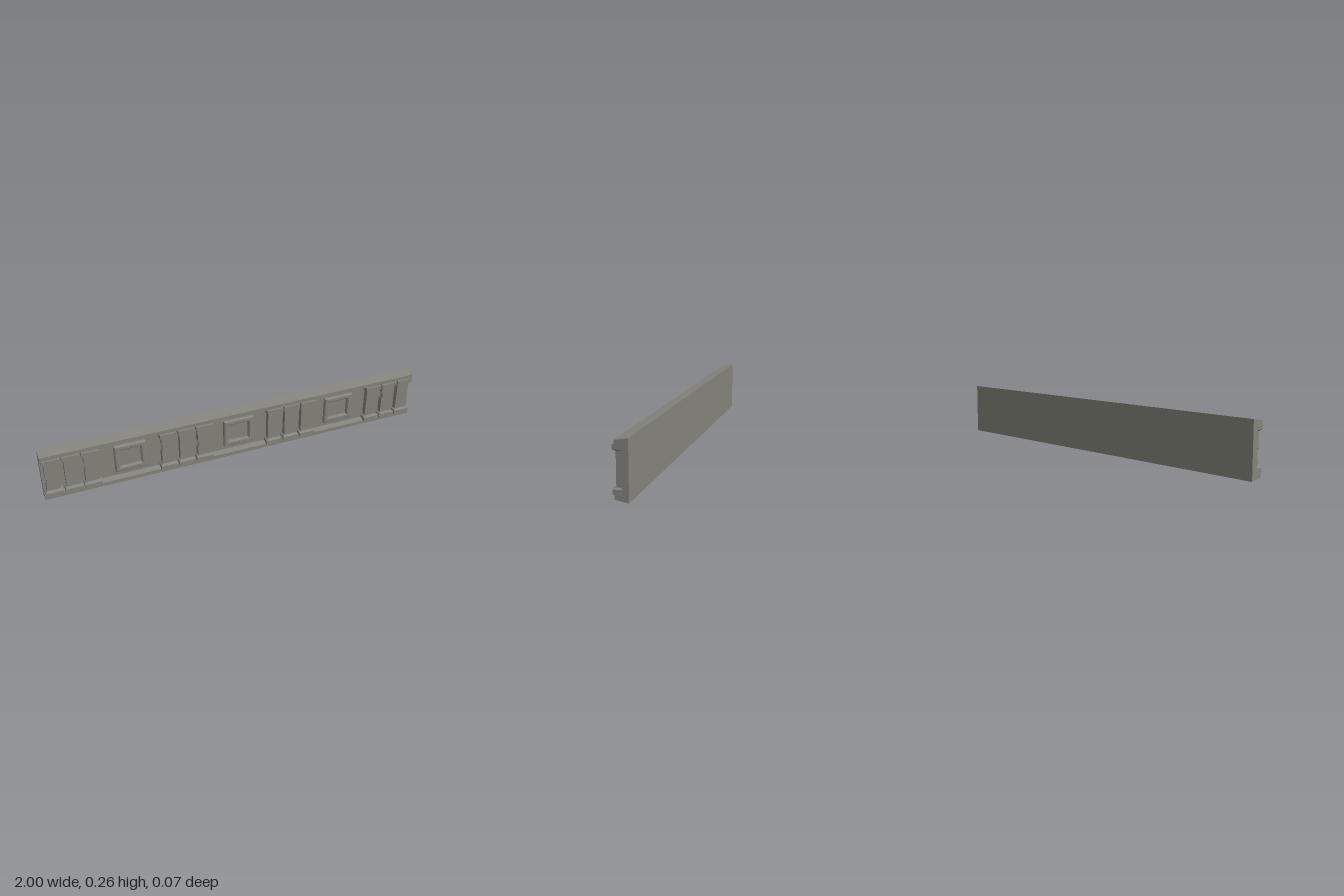
import * as THREE from 'three';

const WALL = -0.004; // face of the recessed wall
const MID = 0.133;   // height of the horizontal centre line

// Closed shape from a list of [x, y] points
function shapeOf(points) {
  return new THREE.Shape(points.map(([x, y]) => new THREE.Vector2(x, y)));
}

function rect(w, h) {
  return [[-w / 2, -h / 2], [w / 2, -h / 2], [w / 2, h / 2], [-w / 2, h / 2]];
}

// Box from y0 to y1 and from the wall forward; the lower end can be narrower and shallower
function taperedBlock(y0, y1, lowW, lowZ, highW, highZ) {
  const geo = new THREE.BoxGeometry(1, 1, 1);
  const p = geo.attributes.position;
  for (let i = 0; i < p.count; i++) {
    const high = p.getY(i) > 0;
    const z = p.getZ(i) > 0 ? (high ? highZ : lowZ) : WALL - 0.006;
    p.setXYZ(i, p.getX(i) * (high ? highW : lowW), high ? y1 : y0, z);
  }
  geo.computeVertexNormals();
  return geo;
}

// Shaft outline with an optional chip in its left (-1) or right (1) edge
function shaftGeometry(chipSide, chipY) {
  const w = 0.034, h = 0.08;
  const right = [[w, -h]], left = [[-w, h]];
  if (chipSide) {
    const chip = [[0, -0.022], [0.007, -0.012], [0.004, 0], [0.009, 0.008], [0, 0.02]];
    if (chipSide > 0) chip.forEach(([d, y]) => right.push([w - d, chipY + y]));
    else chip.reverse().forEach(([d, y]) => left.push([d - w, chipY + y]));
  }
  const pts = [...right, [w, h], ...left, [-w, -h]];
  const geo = new THREE.ExtrudeGeometry(shapeOf(pts), { depth: 0.032, bevelEnabled: false });
  return geo.translate(0, MID, WALL - 0.006);
}

export function createModel() {
  const model = new THREE.Group();
  model.name = 'stoneFrieze';
  const stone = new THREE.MeshStandardMaterial({ color: 0x85847c });
  stone.name = 'grey stone';

  function add(parent, name, geo) {
    const mesh = new THREE.Mesh(geo, stone);
    mesh.name = name;
    parent.add(mesh);
    return mesh;
  }

  // Wall with overhanging rims, one section run along the whole length
  const section = [
    [0.035, 0], [0.035, 0.265], [-0.025, 0.255], [-0.025, 0.236], [0, 0.228], [-WALL, 0.228],
    [-WALL, 0.038], [0, 0.038], [-0.025, 0.031], [-0.025, 0.011],
  ];
  const wall = new THREE.ExtrudeGeometry(shapeOf(section), { depth: 2, bevelEnabled: false });
  wall.rotateY(Math.PI / 2).translate(-1, 0, 0);
  add(model, 'wallAndRims', wall);

  // Four groups of three pilasters; the chips vary from one to the next
  const chips = [
    [-1, -0.02], [0, 0], [-1, 0.01], [-1, 0.02], [0, 0], [-1, -0.01],
    [0, 0], [0, 0], [1, -0.03], [0, 0], [-1, 0.03], [0, 0],
  ];
  const capBlock = taperedBlock(0.215, 0.236, 0.087, 0.035, 0.087, 0.035);
  const capNeck = taperedBlock(0.208, 0.215, 0.069, 0.023, 0.087, 0.035);
  [-0.858, -0.285, 0.285, 0.858].forEach((centre, g) => {
    for (let i = 0; i < 3; i++) {
      const pilaster = new THREE.Group();
      pilaster.name = 'pilaster';
      pilaster.position.x = centre + (i - 1) * 0.094;
      add(pilaster, 'shaft', shaftGeometry(...chips[g * 3 + i]));
      for (const [part, geo] of [['Block', capBlock], ['Neck', capNeck]]) {
        add(pilaster, 'cap' + part, geo);
        // The foot is the cap turned over
        const foot = geo.clone().scale(1, -1, 1).translate(0, MID * 2, 0);
        const index = foot.index.array;
        for (let k = 0; k < index.length; k += 3) {
          [index[k], index[k + 1]] = [index[k + 1], index[k]];
        }
        foot.computeVertexNormals();
        add(pilaster, 'foot' + part, foot);
      }
      model.add(pilaster);
    }
  });

  // Bevelled square frames in the bays between the groups
  const outline = shapeOf(rect(0.148, 0.138));
  outline.holes.push(new THREE.Path(rect(0.119, 0.107).reverse().map(([x, y]) => new THREE.Vector2(x, y))));
  const frame = new THREE.ExtrudeGeometry(outline, {
    depth: 0.014, bevelEnabled: true, bevelSegments: 1, bevelSize: 0.006, bevelThickness: 0.006,
  }).translate(0, 0.137, WALL - 0.004);
  for (const x of [-0.567, 0, 0.567]) {
    add(model, 'bayFrame', frame).position.x = x;
  }
  return model;
}
